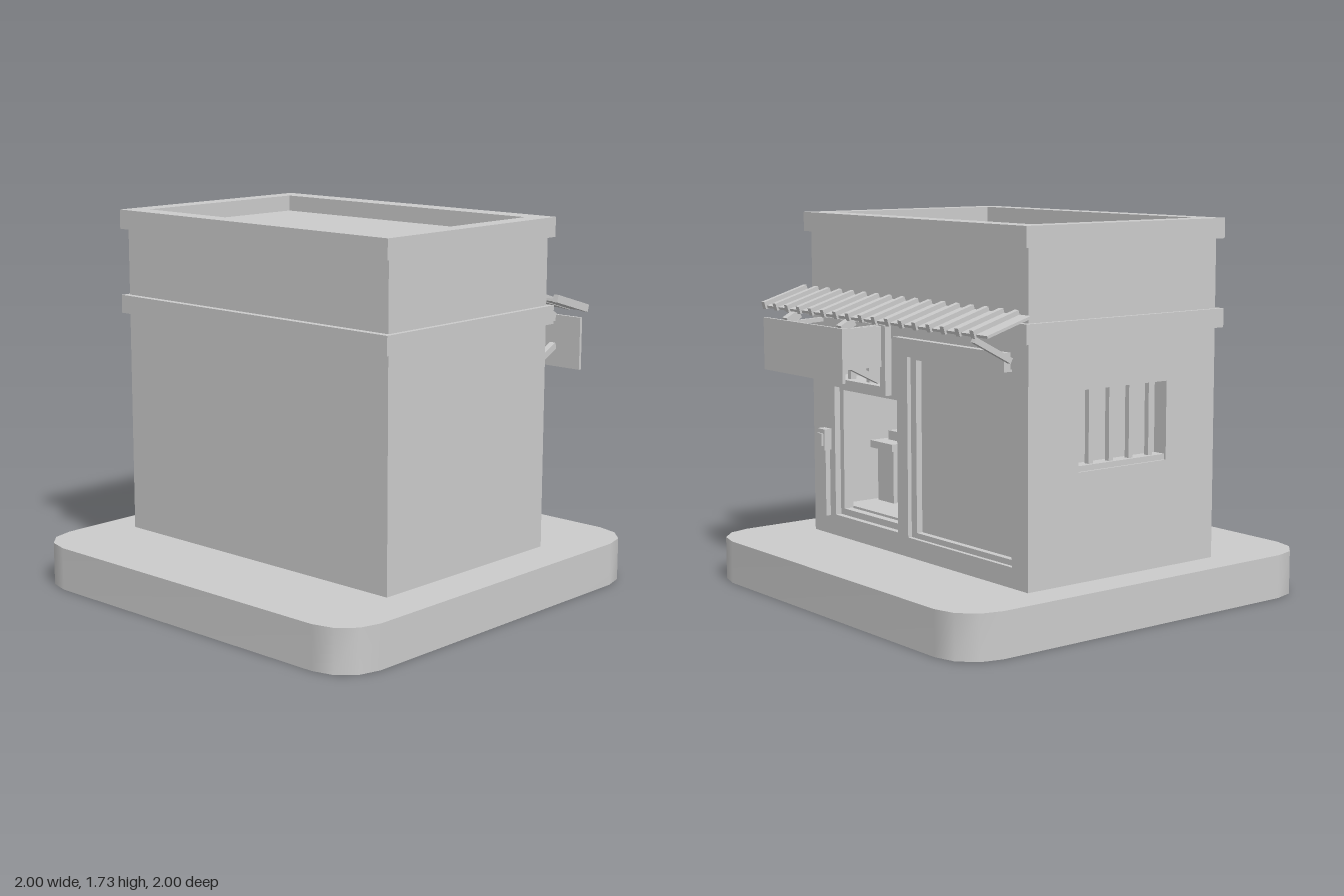
import * as THREE from 'three';

const mat = new THREE.MeshStandardMaterial({ color: 0xcccccc, side: THREE.DoubleSide });

function add(parent, name, geometry) {
  const mesh = new THREE.Mesh(geometry, mat);
  mesh.name = name;
  parent.add(mesh);
  return mesh;
}

// Box given by its limits on each axis
function box(parent, name, x0, x1, y0, y1, z0, z1) {
  const mesh = add(parent, name, new THREE.BoxGeometry(x1 - x0, y1 - y0, z1 - z0));
  mesh.position.set((x0 + x1) / 2, (y0 + y1) / 2, (z0 + z1) / 2);
  return mesh;
}

function rect(Type, a0, a1, b0, b1) {
  const s = new Type();
  s.moveTo(a0, b0);
  s.lineTo(a1, b0);
  s.lineTo(a1, b1);
  s.lineTo(a0, b1);
  s.closePath();
  return s;
}

// Flat slab with rectangular openings, limits as [a0, a1, b0, b1]
function pierced(outer, holes, depth) {
  const shape = rect(THREE.Shape, ...outer);
  shape.holes = holes.map((h) => rect(THREE.Path, ...h));
  return new THREE.ExtrudeGeometry(shape, { depth, bevelEnabled: false });
}

// Straight square bar between two points in the y-z plane
function strut(parent, name, x, y0, z0, y1, z1, t) {
  const len = Math.hypot(y1 - y0, z1 - z0);
  const mesh = add(parent, name, new THREE.BoxGeometry(t, t, len));
  mesh.position.set(x, (y0 + y1) / 2, (z0 + z1) / 2);
  mesh.rotation.x = -Math.atan2(y1 - y0, z1 - z0);
}

// Plinth with rounded corners, open underneath
function plinth(parent) {
  const pts = [];
  for (let c = 0; c < 4; c++) {
    const q = (c * Math.PI) / 2;
    const cx = 0.8 * Math.sign(Math.cos(q + Math.PI / 4));
    const cy = 0.8 * Math.sign(Math.sin(q + Math.PI / 4));
    for (let k = 0; k <= 3; k++) {
      const a = q + (k * Math.PI) / 6;
      pts.push(new THREE.Vector2(cx + 0.2 * Math.cos(a), cy + 0.2 * Math.sin(a)));
    }
  }
  const top = add(parent, 'plinthTop', new THREE.ShapeGeometry(new THREE.Shape(pts)).rotateX(-Math.PI / 2));
  top.position.y = 0.2;
  const pos = [], idx = [], n = pts.length;
  pts.forEach((p, i) => {
    pos.push(p.x, 0, -p.y, p.x, 0.2, -p.y);
    const a = 2 * i, b = 2 * ((i + 1) % n);
    idx.push(a, b, b + 1, a, b + 1, a + 1);
  });
  const side = new THREE.BufferGeometry();
  side.setAttribute('position', new THREE.Float32BufferAttribute(pos, 3));
  side.setIndex(idx);
  side.computeVertexNormals();
  add(parent, 'plinthSide', side);
}

export function createModel() {
  const model = new THREE.Group();
  plinth(model);

  // Walls around a hollow room
  const walls = new THREE.Group();
  walls.name = 'walls';
  model.add(walls);
  const door = [0.1, 0.61, 0.3, 0.92];
  const transom = [0.18, 0.63, 0.965, 1.2];
  const panel = [-0.73, 0.02, 0.29, 1.13];
  add(walls, 'shopWall', pierced([-0.835, 0.79, 0.2, 1.25], [door, transom, panel], 0.1)).position.z = -0.54;
  box(walls, 'frontWall', -0.835, 0.79, 0.2, 1.25, 0.43, 0.53);
  box(walls, 'rightWall', 0.69, 0.79, 0.2, 1.25, -0.44, 0.43);
  const side = pierced([-0.44, 0.43, 0.2, 1.25], [[-0.265, 0.24, 0.68, 1.03]], 0.1);
  add(walls, 'windowWall', side.rotateY(-Math.PI / 2)).position.x = -0.735;
  box(walls, 'upperStorey', -0.835, 0.79, 1.25, 1.655, -0.54, 0.53);
  box(walls, 'roomFloor', -0.735, 0.69, 0.2, 0.33, -0.44, 0.43);

  // Cornice band and roof parapet
  const ring = (name, y, h, hole) => {
    const g = pierced([-0.855, 0.813, -0.563, 0.567], [hole], h).rotateX(-Math.PI / 2);
    add(model, name, g).position.y = y;
  };
  ring('corniceBand', 1.245, 0.085, [-0.8, 0.76, -0.5, 0.51]);
  ring('parapet', 1.64, 0.09, [-0.76, 0.72, -0.465, 0.46]);

  // Side window with bars
  const win = new THREE.Group();
  win.name = 'sideWindow';
  model.add(win);
  box(win, 'windowPane', -0.76, -0.75, 0.68, 1.03, -0.265, 0.24);
  box(win, 'windowSill', -0.825, -0.75, 0.68, 0.705, -0.265, 0.24);
  for (let i = 0; i < 4; i++) {
    const z = -0.175 + i * 0.115;
    box(win, 'windowBar', -0.81, -0.785, 0.7, 1.03, z - 0.012, z + 0.012);
  }

  // Large shutter panel, its frame and lintel
  const shutter = new THREE.Group();
  shutter.name = 'shutter';
  model.add(shutter);
  box(shutter, 'shutterPanel', ...panel, -0.475, -0.46);
  add(shutter, 'shutterFrame', pierced(panel, [[-0.7, -0.02, 0.315, 1.1]], 0.03)).position.z = -0.52;
  box(shutter, 'shutterLintel', -0.72, 0.08, 1.12, 1.2, -0.575, -0.53);

  // Doorway frame and transom window
  add(model, 'doorFrame', pierced(door, [[0.13, 0.58, 0.33, 0.9]], 0.04)).position.z = -0.51;
  const tr = add(model, 'transomFrame', pierced([0.14, 0.67, 0.925, 1.245], [transom], 0.035));
  tr.position.z = -0.575;
  for (const x of [0.33, 0.48]) box(model, 'transomBar', x - 0.012, x + 0.012, 0.965, 1.2, -0.54, -0.51);

  // Counter with a till inside the doorway
  const counter = new THREE.Group();
  counter.name = 'counter';
  model.add(counter);
  box(counter, 'counterBody', 0.53, 0.66, 0.33, 0.6, -0.26, 0);
  box(counter, 'counterTop', 0.5, 0.68, 0.59, 0.625, -0.29, 0.03);
  box(counter, 'till', 0.54, 0.64, 0.625, 0.67, -0.21, -0.08);
  box(counter, 'tillScreen', 0.56, 0.62, 0.67, 0.71, -0.17, -0.11);

  // Meter box and pipe beside the door
  box(model, 'meterPipe', 0.655, 0.685, 0.29, 0.62, -0.565, -0.54);
  box(model, 'meterBox', 0.64, 0.7, 0.61, 0.71, -0.58, -0.54);
  box(model, 'meterCover', 0.65, 0.69, 0.63, 0.69, -0.59, -0.575);

  // Hanging sign board with brackets and lamps
  const sign = new THREE.Group();
  sign.name = 'signBoard';
  model.add(sign);
  box(sign, 'board', 0.14, 0.8, 1.0, 1.245, -0.805, -0.79);
  box(sign, 'bracketPlate', 0.17, 0.18, 1.055, 1.24, -0.79, -0.575);
  for (const x of [0.2, 0.65]) {
    strut(sign, 'diagonalStrut', x, 0.99, -0.57, 1.1, -0.79, 0.03);
    strut(sign, 'topArm', x, 1.235, -0.55, 1.225, -0.79, 0.02);
    strut(sign, 'lamp', x, 1.27, -0.71, 1.235, -0.775, 0.04);
  }

  // Ribbed awning
  const awning = new THREE.Group();
  awning.name = 'awning';
  awning.position.set(0, 1.33, -0.657);
  awning.rotation.x = -0.29;
  model.add(awning);
  box(awning, 'awningSheet', -0.855, 0.83, -0.012, 0, -0.118, 0.118);
  for (let i = 0; i < 17; i++) {
    const x = -0.77 + i * 0.1005;
    box(awning, 'awningRib', x - 0.013, x + 0.013, -0.015, 0.02, -0.128, 0.118);
  }
  strut(model, 'awningStrut', -0.74, 1.17, -0.56, 1.27, -0.75, 0.025);

  return model;
}
